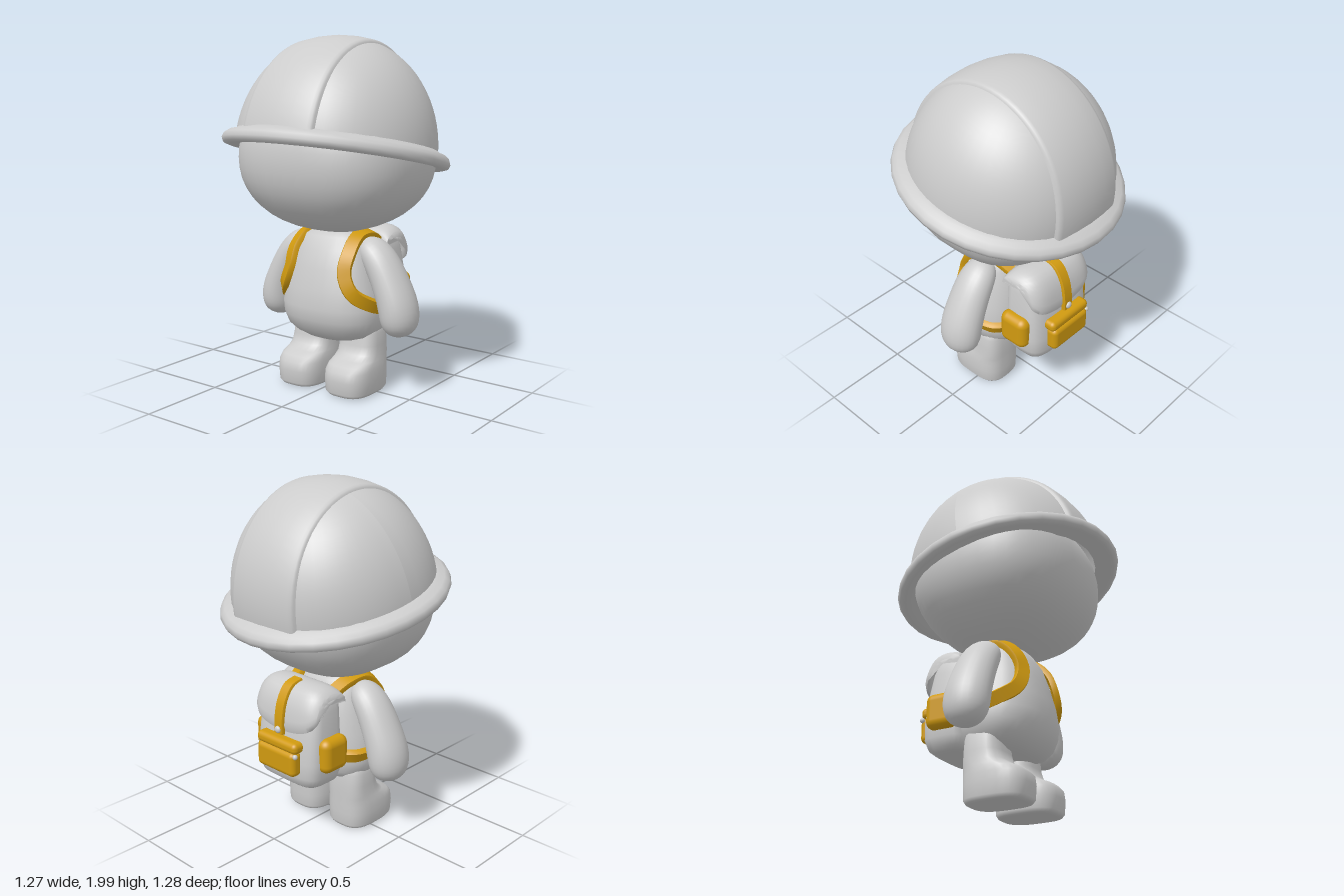
import * as THREE from 'three';
import { toCreasedNormals } from 'three/addons/utils/BufferGeometryUtils.js';
import { RoundedBoxGeometry } from 'three/addons/geometries/RoundedBoxGeometry.js';

const V = (x, y, z) => new THREE.Vector3(x, y, z);
const grey = new THREE.MeshStandardMaterial({ color: 0xcccccc });
const greyBoth = new THREE.MeshStandardMaterial({ color: 0xcccccc, side: THREE.DoubleSide });
const yellow = new THREE.MeshStandardMaterial({ color: 0xd09a10 });

function add(parent, name, geo, mat = grey, x = 0, y = 0, z = 0) {
  const m = new THREE.Mesh(geo, mat);
  m.name = name;
  m.position.set(x, y, z);
  parent.add(m);
  return m;
}

// Closed skin over a row of rings, with capped ends, always facing outward
function loft(rings, crease) {
  const n = rings[0].length, pts = rings.flat(), idx = [];
  for (let i = 0; i < rings.length - 1; i++)
    for (let j = 0; j < n; j++) {
      const a = i * n + j, b = i * n + (j + 1) % n;
      idx.push(a, b, a + n, b, b + n, a + n);
    }
  for (const [r, flip] of [[0, true], [rings.length - 1, false]]) {
    const c = pts.length;
    pts.push(rings[r].reduce((s, p) => s.add(p), V(0, 0, 0)).divideScalar(n));
    for (let j = 0; j < n; j++) {
      const a = r * n + j, b = r * n + (j + 1) % n;
      idx.push(...(flip ? [b, a, c] : [a, b, c]));
    }
  }
  let volume = 0;
  for (let i = 0; i < idx.length; i += 3)
    volume += pts[idx[i]].dot(V(0, 0, 0).crossVectors(pts[idx[i + 1]], pts[idx[i + 2]]));
  if (volume < 0) idx.reverse();
  const g = new THREE.BufferGeometry().setFromPoints(pts);
  g.setIndex(idx);
  g.computeVertexNormals();
  return crease ? toCreasedNormals(g, crease) : g;
}

// Horizontal rounded section: rows are [y, halfWidth, zBack, zFront]
function stack(rows, xc, power, n = 32) {
  return loft(rows.map(([y, hx, z0, z1]) => Array.from({ length: n }, (_, j) => {
    const a = j / n * Math.PI * 2, c = Math.cos(a), s = Math.sin(a);
    const e = (v) => Math.sign(v) * Math.abs(v) ** (2 / power);
    return V(xc + hx * e(c), y, (z0 + z1) / 2 + (z1 - z0) / 2 * e(s));
  })));
}

// Flat band along a path, lying against a body around the given centre
function band(points, centre, width, thick, steps = 32) {
  const curve = new THREE.CatmullRomCurve3(points);
  const rings = [];
  for (let i = 0; i <= steps; i++) {
    const p = curve.getPointAt(i / steps), t = curve.getTangentAt(i / steps);
    const n = p.clone().sub(centre);
    n.addScaledVector(t, -n.dot(t)).normalize();
    const b = V(0, 0, 0).crossVectors(t, n);
    rings.push([[1, -1], [1, .4], [.88, 1], [-.88, 1], [-1, .4], [-1, -1]].map(([u, v]) =>
      p.clone().addScaledVector(b, u * width / 2).addScaledVector(n, v * thick / 2)));
  }
  return loft(rings, 1);
}

// Rounded, slightly boxy head
function buildHead() {
  const rows = [];
  for (let i = 0; i <= 22; i++) {
    const v = -Math.cos(i / 22 * Math.PI);
    const r = Math.max(1 - Math.abs(v) ** 2.15, 0.0005) ** (1 / 2.15);
    rows.push([1.33 + .42 * v, .53 * r, -.005 - .49 * r, -.005 + .487 * r]);
  }
  return stack(rows, 0, 2.6, 40);
}

function buildHelmet() {
  const helmet = new THREE.Group();
  helmet.name = 'helmet';
  helmet.position.set(0, 1.365, 0);
  helmet.rotation.x = -0.207;
  // Dome, with fuller flanks than a plain ellipsoid
  const dome = new THREE.SphereGeometry(1, 48, 20, 0, Math.PI * 2, 0, Math.PI / 2);
  const pos = dome.attributes.position;
  for (let i = 0; i < pos.count; i++) {
    const x = Math.min(Math.abs(pos.getX(i)), 0.999);
    const f = Math.sqrt((1 - x ** 2.2) / (1 - x * x));
    pos.setXYZ(i, pos.getX(i) * .555, pos.getY(i) * f * .63, pos.getZ(i) * f * .568);
  }
  dome.computeVertexNormals();
  add(helmet, 'helmetDome', dome, greyBoth);
  // Raised middle panel running front to back, a little wider at the brim
  const section = [[-.228, .88], [-.22, .935], [-.212, .953], [-.195, .963], [-.1, .99], [0, 1],
    [.1, .99], [.195, .963], [.212, .953], [.22, .935], [.228, .88]];
  const rings = [];
  for (let i = 0; i <= 32; i++) {
    const a = i / 32 * Math.PI, flare = 0.98 + 0.06 * Math.cos(a) ** 4;
    rings.push(section.map(([x, s]) => V(x * flare, 0.635 * s * Math.sin(a), 0.575 * s * Math.cos(a))));
  }
  add(helmet, 'helmetRidge', loft(rings, 1), greyBoth);
  // Brim
  const profile = [[.5, -.025], [.56, -.038], [.6, -.046], [.625, -.038], [.635, -.014], [.627, .012],
    [.603, .032], [.575, .04], [.558, .052], [.5, .052], [.5, -.025]].map(([r, y]) => new THREE.Vector2(r, y));
  const brim = add(helmet, 'helmetBrim', toCreasedNormals(new THREE.LatheGeometry(profile, 32), 0.9), greyBoth);
  brim.scale.z = 1.03;
  return helmet;
}

function buildArm(side) {
  const path = new THREE.CatmullRomCurve3([V(.18, .87, -.01), V(.285, .775, -.01), V(.37, .63, -.01),
    V(.417, .5, -.01), V(.425, .355, -.01)]);
  const rings = [];
  for (let i = 0; i <= 28; i++) {
    const t = (1 - Math.cos(i / 28 * Math.PI)) / 2;
    const p = path.getPointAt(t), d = path.getTangentAt(t);
    const cap = Math.sqrt(Math.max(1 - Math.abs(2 * t - 1) ** 5, 0.0004));
    const ru = (.085 + .03 * t) * cap, rv = (.102 + .036 * t) * cap;
    rings.push(Array.from({ length: 24 }, (_, j) => {
      const a = j / 24 * Math.PI * 2, u = ru * Math.cos(a);
      return V(side * (p.x - d.y * u), p.y + d.x * u, p.z + rv * Math.sin(a));
    }));
  }
  return loft(rings);
}

function buildBackpack() {
  const bag = new THREE.Group();
  bag.name = 'backpack';
  // Main sack
  add(bag, 'bagBody', stack([[.335, .14, -.36, -.22], [.34, .185, -.39, -.18], [.36, .215, -.415, -.16],
    [.41, .235, -.432, -.15], [.5, .24, -.432, -.15], [.65, .232, -.415, -.15], [.78, .22, -.388, -.15],
    [.85, .205, -.365, -.152], [.885, .175, -.335, -.165], [.898, .1, -.3, -.2]], 0, 4));
  // Flap: a thick curved sheet, shorter and lower at the sides
  const top = new THREE.CatmullRomCurve3([V(0, .865, -.165), V(0, .905, -.2), V(0, .922, -.29), V(0, .9, -.36),
    V(0, .83, -.408), V(0, .74, -.43), V(0, .66, -.437)]);
  const rings = [];
  for (let i = 0; i <= 24; i++) {
    const u = -Math.cos(i / 24 * Math.PI), edge = u ** 6;
    const outer = [], inner = [];
    for (let j = 0; j <= 14; j++) {
      const s = j / 14 * (1 - 0.11 * u * u - 0.15 * u ** 8);
      const p = top.getPointAt(s), t = top.getTangentAt(s);
      const round = j === 0 || j === 14 ? 0.012 : 0;
      const place = (depth) => V(.234 * u, p.y - t.z * depth - .035 * edge, p.z + t.y * depth + .02 * edge);
      outer.push(place(-round - .01 * edge));
      inner.unshift(place(-.045 + round + .01 * edge));
    }
    rings.push([...outer, ...inner]);
  }
  add(bag, 'bagFlap', loft(rings, 1), greyBoth);
  // Closing strap and its stud
  add(bag, 'flapStrap', band([V(0, .922, -.29), V(0, .903, -.362), V(0, .83, -.413), V(0, .74, -.435),
    V(0, .645, -.44)], V(0, .72, -.25), .065, .024, 20), yellow);
  const stud = add(bag, 'strapStud', new THREE.SphereGeometry(.021, 16, 12), grey, 0, .67, -.451);
  stud.scale.z = .7;
  // Rear pocket with lid and a small pull at its side
  add(bag, 'rearPocket', new RoundedBoxGeometry(.29, .145, .08, 4, .03), yellow, 0, .5, -.445);
  add(bag, 'rearPocketLid', new RoundedBoxGeometry(.31, .065, .085, 4, .028), yellow, 0, .595, -.434);
  add(bag, 'rearPocketPull', new THREE.SphereGeometry(.015, 12, 8), grey, -.146, .555, -.465);
  // Side pockets
  for (const s of [1, -1])
    add(bag, s > 0 ? 'leftPocket' : 'rightPocket', new RoundedBoxGeometry(.095, .2, .185, 5, .046),
      yellow, s * .24, .545, -.273);
  return bag;
}

export function createModel() {
  const model = new THREE.Group();
  model.name = 'helmetedFigure';

  add(model, 'head', buildHead());
  model.add(buildHelmet());

  // Torso
  add(model, 'torso', stack([[.3, .1, -.09, .1], [.305, .18, -.14, .14], [.33, .25, -.18, .175],
    [.37, .288, -.205, .215], [.43, .306, -.215, .24], [.5, .308, -.215, .248], [.6, .29, -.21, .235],
    [.72, .258, -.19, .205], [.82, .23, -.165, .17], [.89, .195, -.135, .125], [.915, .13, -.09, .08]], 0, 2.4));

  // Limbs and shoulder straps
  for (const s of [1, -1]) {
    const label = s > 0 ? 'left' : 'right';
    add(model, label + 'Arm', buildArm(s));
    add(model, label + 'Leg', stack([[.008, .105, -.11, .185], [.012, .125, -.128, .207], [.03, .138, -.138, .22],
      [.1, .142, -.14, .225], [.15, .14, -.14, .218], [.18, .136, -.14, .19], [.2, .132, -.14, .14],
      [.23, .128, -.14, .098], [.28, .124, -.14, .082], [.35, .12, -.135, .075], [.42, .1, -.12, .06]],
    s * .167, 3));
    const path = [[.15, .85, -.18], [.172, .898, -.08], [.18, .898, .05], [.19, .815, .15], [.19, .71, .192],
      [.235, .605, .184], [.292, .54, .105], [.316, .505, 0], [.29, .495, -.14], [.2, .5, -.21]];
    add(model, label + 'ShoulderStrap',
      band(path.map(([x, y, z]) => V(s * x, y, z)), V(s * .08, .62, 0), .077, .034, 40), yellow);
  }
  model.add(buildBackpack());
  return model;
}
